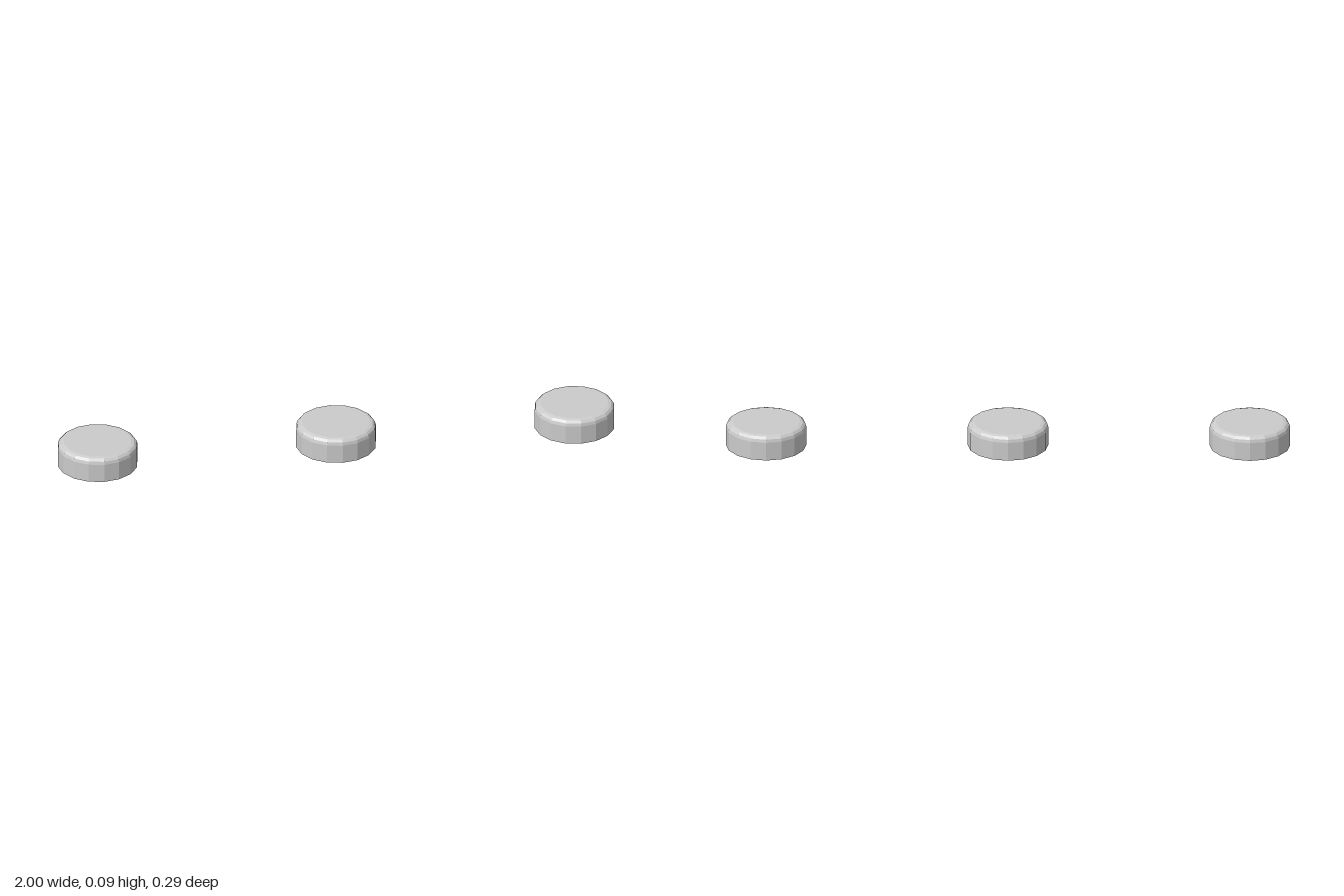
import * as THREE from 'three';

const RADIUS = 0.143, HEIGHT = 0.09, BEVEL = 0.022, SIDES = 16, BEVEL_STEPS = 3;

export function createModel() {
  const group = new THREE.Group();
  group.name = 'buttonRow';
  const material = new THREE.MeshStandardMaterial({ color: 0xcccccc, flatShading: true });

  // Closed puck profile: flat base, straight wall, rounded upper rim, flat top
  const profile = [new THREE.Vector2(0, 0), new THREE.Vector2(RADIUS, 0)];
  for (let i = 0; i <= BEVEL_STEPS; i++) {
    const a = (i / BEVEL_STEPS) * Math.PI / 2;
    profile.push(new THREE.Vector2(
      RADIUS - BEVEL + BEVEL * Math.cos(a),
      HEIGHT - BEVEL + BEVEL * Math.sin(a)
    ));
  }
  profile.push(new THREE.Vector2(0, HEIGHT));
  const geometry = new THREE.LatheGeometry(profile, SIDES);

  // Three identical buttons spaced along x
  const names = ['rightButton', 'middleButton', 'leftButton'];
  names.forEach((name, i) => {
    const button = new THREE.Mesh(geometry, material);
    button.name = name;
    button.position.x = (i - 1) * (1 - RADIUS);
    group.add(button);
  });
  return group;
}
